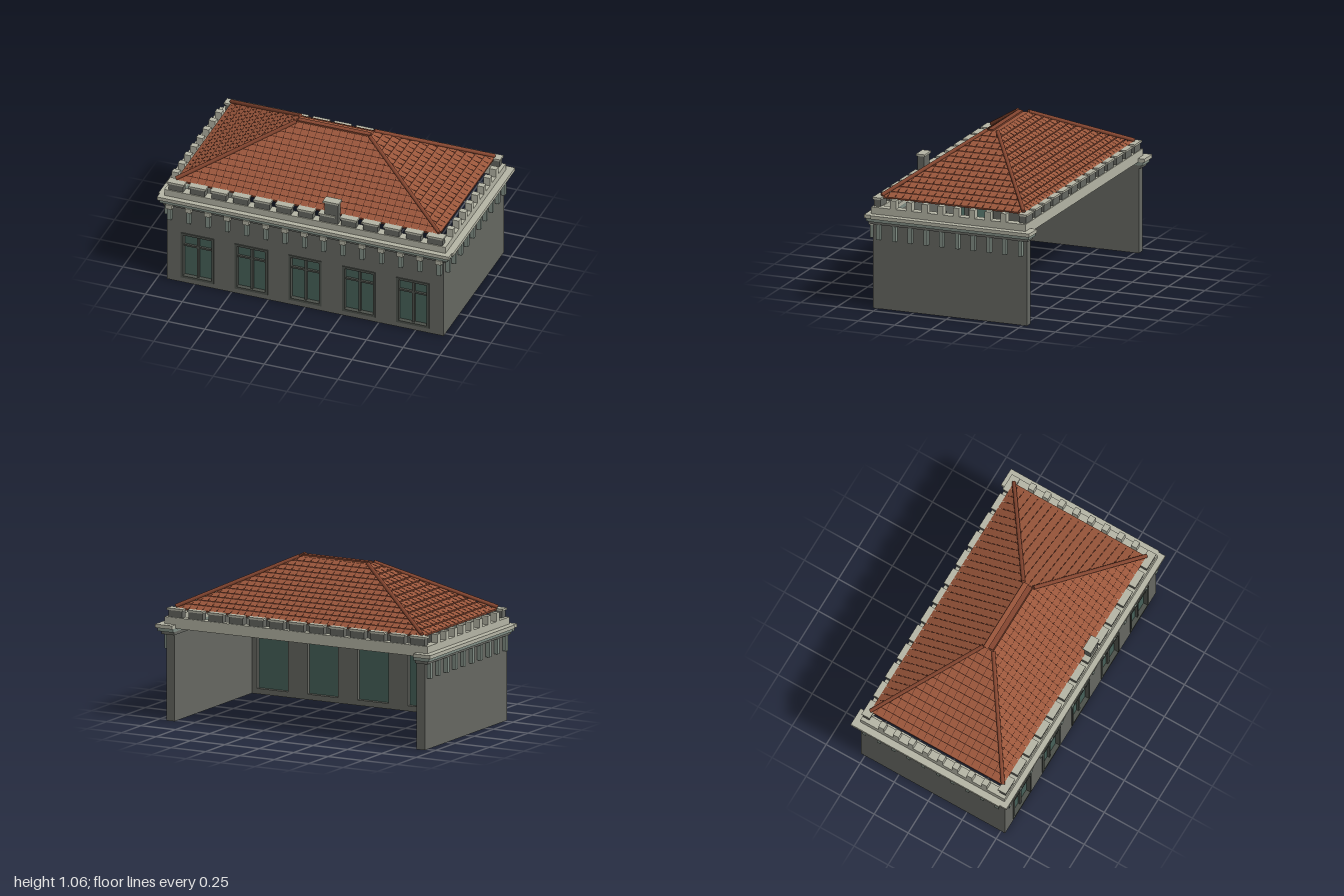
import * as THREE from 'three';

const mat = (name, color, side = THREE.FrontSide) => {
  const m = new THREE.MeshStandardMaterial({ color, side });
  m.name = name;
  return m;
};

export function createModel() {
  const M = {
    wall: mat('wall grey', 0x656761),
    trim: mat('pale stone', 0xb5b5a5),
    bracket: mat('green grey stone', 0x808d84),
    glass: mat('window glass', 0x456058),
    frame: mat('window frame', 0x4c504a),
    tile: mat('roof tile', 0x9a563b),
    gap: mat('tile gap', 0x52291c),
    ridge: mat('ridge tile', 0x854630),
  };
  const root = new THREE.Group();
  const group = (name) => {
    const g = new THREE.Group();
    g.name = name;
    root.add(g);
    return g;
  };
  const add = (parent, name, geo, m) => {
    const mesh = new THREE.Mesh(geo, m);
    mesh.name = name;
    parent.add(mesh);
    return mesh;
  };
  // box given by its limits on each axis
  const box = (parent, name, m, x0, x1, y0, y1, z0, z1) => {
    const b = add(parent, name, new THREE.BoxGeometry(x1 - x0, y1 - y0, z1 - z0), m);
    b.position.set((x0 + x1) / 2, (y0 + y1) / 2, (z0 + z1) / 2);
    return b;
  };
  // the same box on both sides of x = 0
  const pair = (parent, name, m, x0, x1, ...rest) => {
    box(parent, name, m, x0, x1, ...rest);
    box(parent, name, m, -x1, -x0, ...rest);
  };

  // front wall with five window openings, and two side walls; the back is open
  const walls = group('walls');
  const centres = [-2, -1, 0, 1, 2].map((i) => i * 0.3655);
  const W = 0.112, Y0 = 0.035, Y1 = 0.37;
  const rect = (S, x0, x1, y0, y1) =>
    new S([[x0, y0], [x1, y0], [x1, y1], [x0, y1]].map((p) => new THREE.Vector2(...p)));
  const face = rect(THREE.Shape, -0.94, 0.94, 0, 0.6);
  for (const c of centres) face.holes.push(rect(THREE.Path, c - W, c + W, Y0, Y1));
  const front = add(walls, 'frontWall', new THREE.ExtrudeGeometry(face, { depth: 0.06, bevelEnabled: false }), M.wall);
  front.position.z = 0.47;
  pair(walls, 'sideWall', M.wall, 0.88, 0.94, 0, 0.6, -0.53, 0.47);

  // windows: pane, outer frame, centre mullion and transom
  const windows = group('windows');
  for (const c of centres) {
    box(windows, 'pane', M.glass, c - W, c + W, Y0, Y1, 0.498, 0.506);
    const outer = rect(THREE.Shape, c - W, c + W, Y0, Y1);
    outer.holes.push(rect(THREE.Path, c - W + 0.016, c + W - 0.016, Y0 + 0.016, Y1 - 0.016));
    const frame = add(windows, 'frame', new THREE.ExtrudeGeometry(outer, { depth: 0.03, bevelEnabled: false }), M.frame);
    frame.position.z = 0.506;
    box(windows, 'mullion', M.frame, c - 0.008, c + 0.008, Y0, Y1, 0.506, 0.522);
    box(windows, 'transom', M.frame, c - W, c + W, 0.268, 0.28, 0.506, 0.521);
  }

  // cornice tiers run round the front and the two sides
  const cornice = group('cornice');
  const tier = (name, m, ox, oz, y0, y1) => {
    box(cornice, name, m, -0.94 - ox * 0.85, 0.94 + ox * 0.85, y0, y1, 0.465, 0.53 + oz);
    pair(cornice, name, m, 0.875, 0.94 + ox, y0, y1, -0.53 - oz, 0.52);
  };
  tier('lowerBand', M.wall, 0.025, 0.015, 0.56, 0.58);
  tier('middleBand', M.bracket, 0.045, 0.03, 0.58, 0.602);
  tier('topBand', M.trim, 0.06, 0.04, 0.602, 0.625);

  // parapet
  const parapet = group('parapet');
  box(parapet, 'frontParapet', M.trim, -0.955, 0.955, 0.625, 0.67, 0.475, 0.535);
  box(parapet, 'backParapet', M.trim, -0.9, 0.9, 0.6, 0.67, -0.525, -0.475);
  pair(parapet, 'sideParapet', M.trim, 0.9, 0.955, 0.625, 0.67, -0.525, 0.475);

  // capped blocks on the front and back, plain blocks on the sides
  const capped = (parent, name, x, w, z, top) => {
    box(parent, name, M.wall, x - w, x + w, 0.67, top, z - 0.023, z + 0.023);
    box(parent, name + 'Cap', M.trim, x - w - 0.008, x + w + 0.008, top, top + 0.013, z - 0.03, z + 0.03);
  };
  for (let i = -6; i <= 6; i++) {
    capped(parapet, 'frontBlock', i * 0.1467, 0.05, 0.505, 0.716);
    capped(parapet, 'backBlock', i * 0.1467, 0.05, -0.497, 0.716);
  }
  for (let i = 0; i < 8; i++) {
    const z = 0.385 - i * 0.1083;
    pair(parapet, 'sideBlock', M.trim, 0.91, 0.955, 0.67, 0.726, z - 0.02, z + 0.02);
  }
  capped(group('chimney'), 'chimney', 0.175, 0.046, 0.505, 0.815);

  // brackets below the cornice
  const brackets = group('brackets');
  for (let i = -7; i <= 7; i++) {
    const x = i * 0.1307;
    box(brackets, 'frontBracket', M.bracket, x - 0.013, x + 0.013, 0.46, 0.56, 0.53, 0.554);
    box(brackets, 'bracketHead', M.trim, x - 0.02, x + 0.02, 0.545, 0.575, 0.53, 0.562);
  }
  for (let i = 0; i < 10; i++) {
    const z = 0.483 - i * 0.1083;
    pair(brackets, 'sideBracket', M.bracket, 0.94, 0.967, 0.46, 0.56, z - 0.013, z + 0.013);
  }

  // hipped roof: each slope is a dark bed, an underside and rows of small tiles
  const roof = group('roof');
  const EAVE = 0.72, TOP = 1.04, ROWS = 13, lerp = THREE.MathUtils.lerp;
  const quads = (list) => {
    const pos = [];
    for (const [a, b, c, d] of list) for (const p of [a, b, c, a, c, d]) pos.push(...p);
    const g = new THREE.BufferGeometry();
    g.setAttribute('position', new THREE.Float32BufferAttribute(pos, 3));
    g.computeVertexNormals();
    return g;
  };
  const slope = (w0, w1, d0, d1, turn) => {
    const side = new THREE.Group();
    side.name = 'roofSlope';
    side.rotation.y = turn;
    roof.add(side);
    const half = (t) => lerp(w0, w1, t);
    const at = (x, t, lift = 0) => [x, lerp(EAVE, TOP, t) + lift, lerp(d0, d1, t) + lift * 0.6];
    const bed = [at(-w0, 0), at(w0, 0), at(w1, 1), at(-w1, 1)];
    add(side, 'tileBed', quads([bed]), M.gap);
    const under = bed.map(([x, y, z]) => [x, y - 0.004, z]).reverse();
    add(side, 'underside', quads([under]), M.tile);
    const tiles = [], step = 0.05, cols = Math.ceil(w0 / step);
    for (let r = 0; r < ROWS; r++) {
      const t0 = (r + 0.03) / ROWS, t1 = (r + 0.97) / ROWS;
      const clip = (x, t) => THREE.MathUtils.clamp(x, -half(t), half(t));
      for (let c = -cols; c < cols; c++) {
        const a = c * step + 0.0015, b = (c + 1) * step - 0.0015;
        if (clip(b, t0) - clip(a, t0) < 1e-4) continue;
        tiles.push([at(clip(a, t0), t0, 0.008), at(clip(b, t0), t0, 0.008),
          at(clip(b, t1), t1, 0.004), at(clip(a, t1), t1, 0.004)]);
      }
    }
    add(side, 'tiles', quads(tiles), M.tile);
    box(side, 'eave', M.ridge, -w0, w0, EAVE - 0.003, EAVE + 0.008, d0 - 0.012, d0 + 0.004);
  };
  for (const k of [0, 1]) {
    slope(0.89, 0.25, 0.485, 0.035, k * Math.PI);
    slope(0.485, 0.035, 0.89, 0.25, (k + 0.5) * Math.PI);
  }
  box(roof, 'roofTop', M.tile, -0.25, 0.25, TOP - 0.008, TOP + 0.002, -0.035, 0.035);
  box(roof, 'ridgeCap', M.ridge, -0.245, 0.245, TOP, TOP + 0.012, -0.003, 0.032);

  // rounded tiles along the four hips
  for (const sx of [-1, 1]) for (const sz of [-1, 1]) {
    const path = new THREE.LineCurve3(
      new THREE.Vector3(sx * 0.895, 0.738, sz * 0.488), new THREE.Vector3(sx * 0.25, 1.046, sz * 0.037));
    const hip = add(roof, 'hip', new THREE.CylinderGeometry(0.013, 0.013, path.getLength(), 8), M.ridge);
    hip.position.copy(path.getPoint(0.5));
    hip.quaternion.setFromUnitVectors(new THREE.Vector3(0, 1, 0), path.getTangent(0));
  }
  return root;
}
